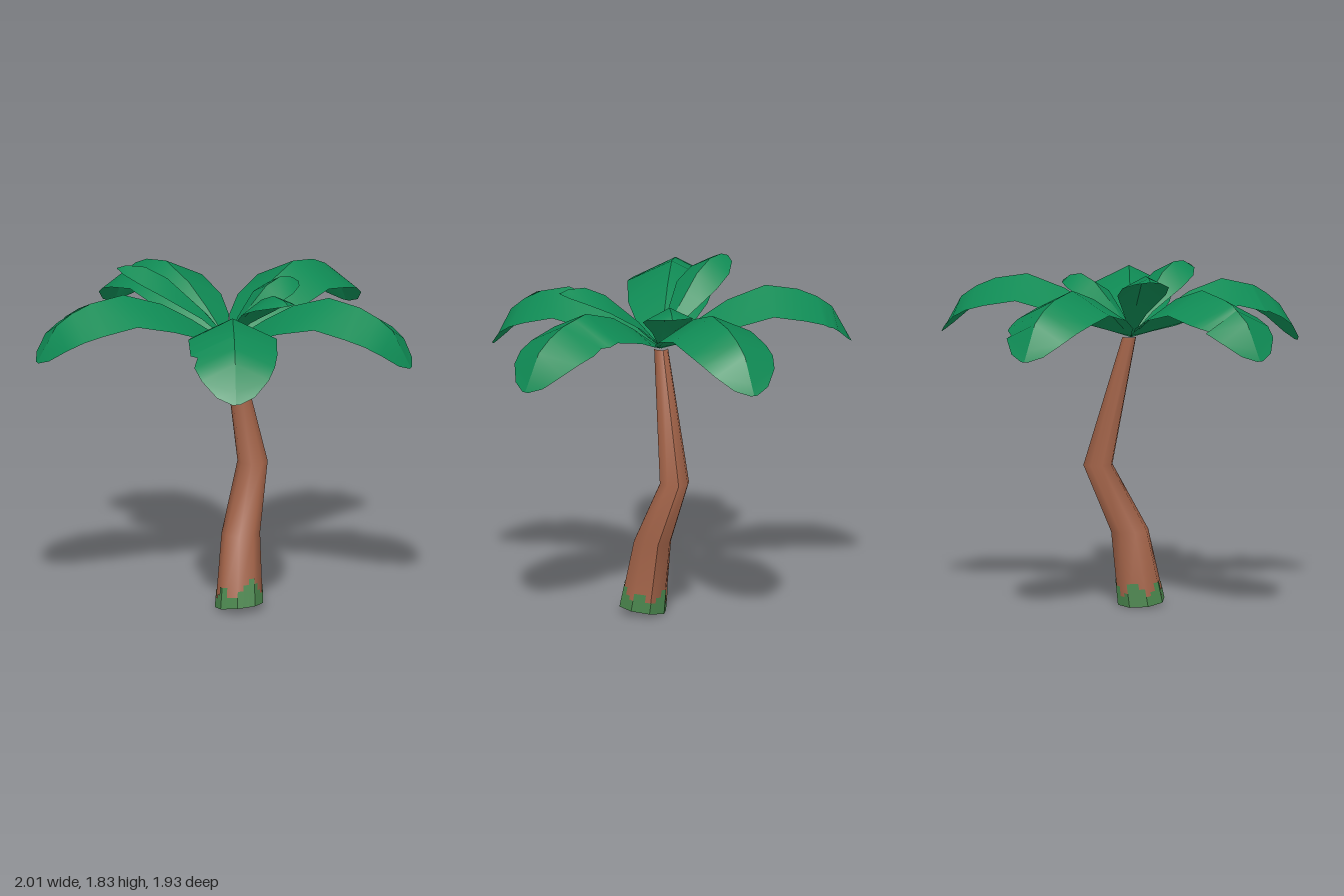
import * as THREE from 'three';

// Strip surface between rows of equal length; wound so the normals face outwards / upwards
function loft(rows, flip = false) {
  const n = rows[0].length, index = [];
  for (let i = 0; i < rows.length - 1; i++) {
    for (let j = 0; j < n - 1; j++) {
      const a = i * n + j, b = a + 1, c = a + n, d = c + 1;
      if (flip) index.push(a, b, c, b, d, c);
      else index.push(a, c, b, b, c, d);
    }
  }
  const geo = new THREE.BufferGeometry();
  geo.setAttribute('position', new THREE.Float32BufferAttribute(rows.flat().flatMap(p => p.toArray()), 3));
  geo.setIndex(index);
  geo.computeVertexNormals();
  return geo;
}

// Linear lookup in a list of [t, value] pairs
function sample(list, t) {
  for (let i = 1; i < list.length; i++) {
    const [t0, v0] = list[i - 1], [t1, v1] = list[i];
    if (t <= t1) return v0 + (v1 - v0) * (t - t0) / (t1 - t0);
  }
  return list[list.length - 1][1];
}

// Trunk rings: centre x, y, z, radius, tilt along z
const RINGS = [
  [-0.02, 0.02, 0.145, 0.125, 0.16],
  [0.027, 0.4, 0.105, 0.102, 0.05],
  [0.176, 0.75, 0.028, 0.08, 0],
  [0, 1.44, 0.05, 0.038, 0],
];
const SIDES = 8;

function ringPoint([x, y, z, r, tilt], k) {
  const a = k / SIDES * Math.PI * 2;
  return new THREE.Vector3(x + r * Math.cos(a), y + tilt * r * Math.sin(a), z + r * Math.sin(a));
}

// Point on the flat-sided trunk wall between the two lowest rings
function wallPoint(k, h) {
  const k0 = Math.floor(k), f = k - k0;
  const onRing = ring => ringPoint(ring, k0).lerp(ringPoint(ring, k0 + 1), f);
  const p = onRing(RINGS[0]).lerp(onRing(RINGS[1]), h / 0.38);
  const out = new THREE.Vector3(p.x + 0.02, 0, p.z - 0.145).normalize();
  return p.addScaledVector(out, 0.003);
}

// Frond profiles along t = 0 (crown) to 1 (tip): midrib height, fold depth, half width
const BIG = {
  height: [[0, 1.44], [0.2, 1.59], [0.35, 1.685], [0.55, 1.755], [0.77, 1.715], [0.9, 1.62], [1, 1.43]],
  drop: [[0, 0], [0.2, 0.07], [0.4, 0.11], [0.7, 0.12], [0.9, 0.09], [1, 0]],
  width: [[0, 0.01], [0.1, 0.07], [0.2, 0.15], [0.35, 0.21], [0.5, 0.235], [0.75, 0.228], [0.88, 0.2], [0.97, 0.1], [1, 0.02]],
  steps: [0, 0.1, 0.2, 0.35, 0.55, 0.72, 0.82, 0.9, 0.97, 1],
};
const SMALL = {
  height: [[0, 1.45], [0.22, 1.59], [0.55, 1.745], [0.83, 1.81], [1, 1.765]],
  drop: [[0, 0], [0.25, 0.03], [0.6, 0.07], [0.85, 0.06], [1, 0]],
  width: [[0, 0.01], [0.25, 0.065], [0.55, 0.13], [0.75, 0.125], [0.92, 0.07], [1, 0.01]],
  steps: [0, 0.22, 0.4, 0.55, 0.75, 0.92, 1],
};
const CROWN = { x: -0.01, z: 0.05 };

// Each frond: profile, tip x, tip z, height change at the tip, notched side and position
const FRONDS = [
  ['rightFrond', BIG, 1, -0.17, 0, 0, 0],
  ['backFrond', BIG, 0.08, -0.97, 0, 1, 0.86],
  ['leftFrond', BIG, -1, -0.35, 0, 1, 0.8],
  ['frontLeftFrond', BIG, -0.6, 0.79, -0.06, 1, 0.73],
  ['frontRightFrond', BIG, 0.49, 0.94, -0.03, -1, 0.62],
  ['smallFrontFrond', SMALL, -0.06, 0.59, 0, 0, 0],
  ['smallBackFrond', SMALL, -0.38, -0.42, 0.05, 0, 0],
  ['smallRightFrond', SMALL, 0.42, 0.11, -0.055, 0, 0],
];

function makeFrond([name, profile, tipX, tipZ, lift, notchSide, notchT], material) {
  const frond = new THREE.Group();
  frond.name = name;
  const dx = tipX - CROWN.x, dz = tipZ - CROWN.z, len = Math.hypot(dx, dz);
  for (const side of [1, -1]) {
    const notched = side === notchSide;
    const steps = profile.steps.slice();
    if (notched) steps.push(notchT - 0.015, notchT + 0.015);
    steps.sort((a, b) => a - b);
    const rows = steps.map(t => {
      let w = sample(profile.width, t);
      if (notched && Math.abs(t - notchT - 0.015) < 1e-6) w -= 0.035;
      const y = sample(profile.height, t) + lift * t;
      const x = CROWN.x + dx * t, z = CROWN.z + dz * t;
      return [
        new THREE.Vector3(x, y, z),
        new THREE.Vector3(x - side * dz / len * w, y - sample(profile.drop, t), z + side * dx / len * w),
      ];
    });
    const half = new THREE.Mesh(loft(rows, side < 0), material);
    half.name = side > 0 ? 'frondRightHalf' : 'frondLeftHalf';
    frond.add(half);
  }
  return frond;
}

export function createModel() {
  const bark = new THREE.MeshStandardMaterial({ color: 0xa5654a });
  const leaf = new THREE.MeshStandardMaterial({ color: 0x0f8a54, side: THREE.DoubleSide });
  const moss = new THREE.MeshStandardMaterial({ color: 0x4a864d, side: THREE.DoubleSide });
  const model = new THREE.Group();
  model.name = 'palmTree';

  // Bent, tapering trunk
  const ks = Array.from({ length: SIDES + 1 }, (_, k) => k);
  const trunk = new THREE.Mesh(loft(RINGS.map(r => ks.map(k => ringPoint(r, k)))), bark);
  trunk.name = 'trunk';
  model.add(trunk);

  // Moss patches with a stepped upper edge around the foot
  const heights = [0.06, 0.1, 0.1, 0.06, 0.08, 0.12, 0.15, 0.12, 0.09, 0.06, 0.06, 0.11,
    0.11, 0.07, 0.05, 0.09, 0.12, 0.12, 0.07, 0.05, 0.1, 0.13, 0.09, 0.06];
  const mossGroup = new THREE.Group();
  mossGroup.name = 'mossBand';
  heights.forEach((h, i) => {
    const k0 = i * SIDES / heights.length, k1 = (i + 1) * SIDES / heights.length - 1e-6;
    const patch = new THREE.Mesh(loft([0, h].map(y => [wallPoint(k0, y), wallPoint(k1, y)])), moss);
    patch.name = 'mossPatch';
    mossGroup.add(patch);
  });
  model.add(mossGroup);

  // Underside of the trunk
  const centre = new THREE.Vector3(...RINGS[0].slice(0, 3));
  const base = new THREE.Mesh(loft([ks.map(k => ringPoint(RINGS[0], k)), ks.map(() => centre.clone())], true), moss);
  base.name = 'trunkBase';
  model.add(base);

  // Crown of fronds
  const crown = new THREE.Group();
  crown.name = 'crown';
  FRONDS.forEach(f => crown.add(makeFrond(f, leaf)));
  model.add(crown);
  return model;
}
